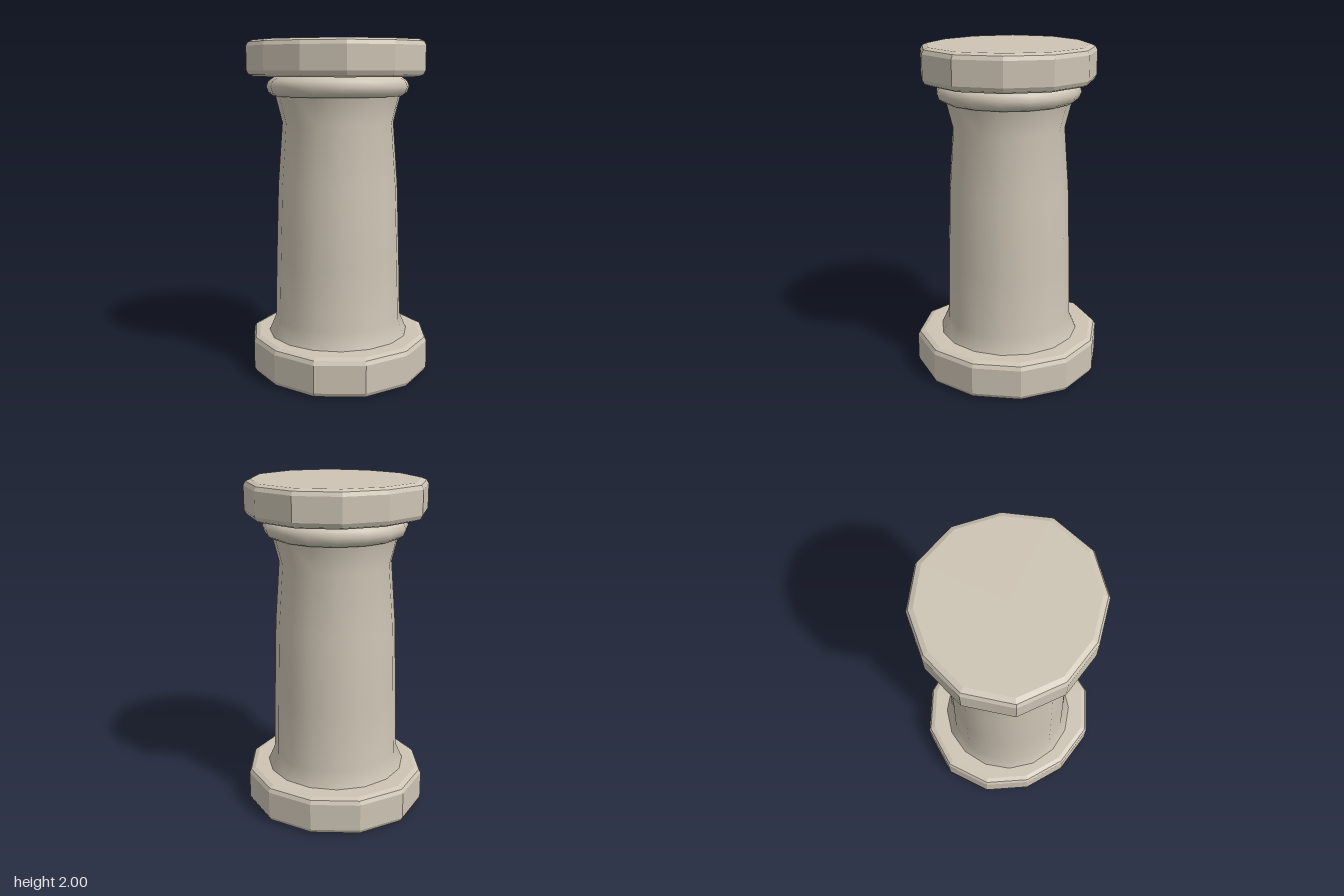
import * as THREE from 'three';

const stone = new THREE.MeshStandardMaterial({ color: 0xcdc4b4 });
const facetedStone = new THREE.MeshStandardMaterial({ color: 0xcdc4b4, flatShading: true });
const toPoints = (list) => list.map(([r, y]) => new THREE.Vector2(r, y));

// Bevelled twelve-sided slab whose corners sit at slightly uneven radii
function slab(name, y0, y1, startDegrees, radii) {
  const mean = radii.reduce((a, b) => a + b) / radii.length;
  const profile = toPoints([
    [0, y0], [mean - 0.04, y0], [mean - 0.012, y0 + 0.012], [mean, y0 + 0.035],
    [mean, y1 - 0.035], [mean - 0.012, y1 - 0.012], [mean - 0.04, y1], [0, y1],
  ]);
  const geometry = new THREE.LatheGeometry(profile, radii.length, THREE.MathUtils.degToRad(startDegrees));
  const p = geometry.attributes.position;
  for (let i = 0; i < p.count; i++) {
    const k = radii[Math.floor(i / profile.length) % radii.length] / mean;
    p.setXYZ(i, p.getX(i) * k, p.getY(i), p.getZ(i) * k);
  }
  const mesh = new THREE.Mesh(geometry, facetedStone);
  mesh.name = name;
  return mesh;
}

// Smooth turned part
function turned(name, profile) {
  const mesh = new THREE.Mesh(new THREE.LatheGeometry(toPoints(profile), 16, 0.2), stone);
  mesh.name = name;
  return mesh;
}

export function createModel() {
  const column = new THREE.Group();
  column.name = 'column';

  // Foot and cap slabs, turned a little against each other
  column.add(slab('base', 0, 0.235, 17.3,
    [0.566, 0.575, 0.563, 0.555, 0.555, 0.56, 0.557, 0.566, 0.571, 0.552, 0.53, 0.532]));
  column.add(slab('capital', 1.79, 2, 6.7,
    [0.494, 0.51, 0.531, 0.544, 0.525, 0.528, 0.523, 0.508, 0.506, 0.533, 0.54, 0.511]));

  // Tapered shaft, flared at both ends
  column.add(turned('shaft', [
    [0.43, 0.2], [0.425, 0.235], [0.385, 0.33], [0.375, 0.7],
    [0.36, 1.15], [0.332, 1.52], [0.375, 1.69],
  ]));

  // Rounded ring under the capital
  column.add(turned('neckRing', [
    [0.34, 1.677], [0.385, 1.677], [0.412, 1.695], [0.425, 1.732],
    [0.412, 1.765], [0.385, 1.782], [0.37, 1.795],
  ]));

  return column;
}
